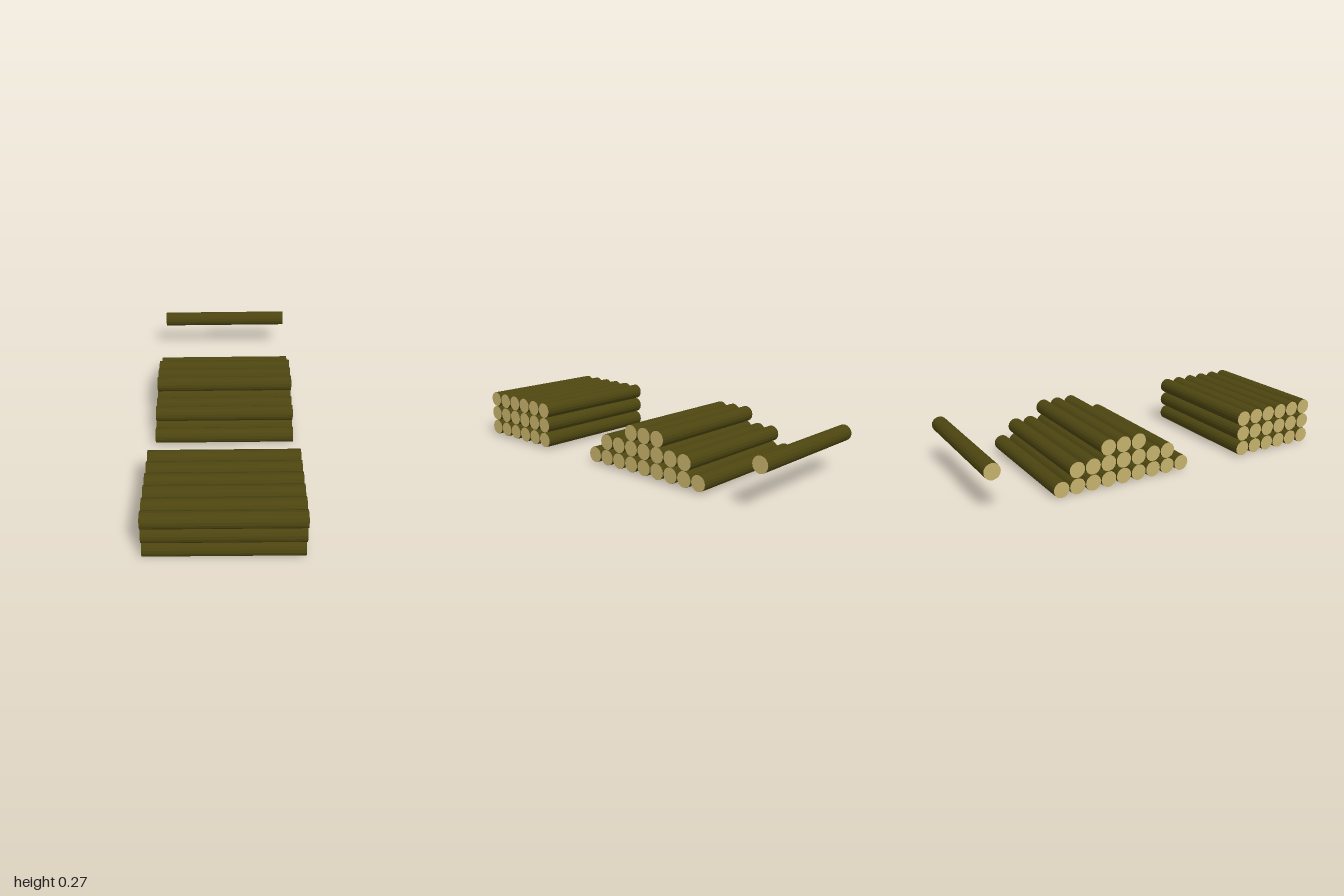
import * as THREE from 'three';

const RADIUS = 0.0425;
const LENGTH = 0.765;
const PITCH = 0.0882; // distance between neighbouring logs
const TILT = 0.0131; // every log rises slightly towards +x

export function createModel() {
  const bark = new THREE.MeshStandardMaterial({ color: 0x4c4510, flatShading: true });
  bark.name = 'bark';
  const cutWood = new THREE.MeshStandardMaterial({ color: 0xc6b26c });
  cutWood.name = 'cutWood';

  // One log lying along x: bark side, cut wood on both ends
  const logGeometry = new THREE.CylinderGeometry(RADIUS, RADIUS, LENGTH, 16);
  logGeometry.rotateZ(-Math.PI / 2 + TILT);

  // A row of logs running from zFront towards the back
  function addRow(pile, count, zFront, y) {
    for (let i = 0; i < count; i++) {
      const log = new THREE.Mesh(logGeometry, [bark, cutWood, cutWood]);
      log.name = 'log';
      log.position.set(0, y, zFront - i * PITCH);
      pile.add(log);
    }
  }

  const model = new THREE.Group();
  model.name = 'logPiles';

  // Square stack at the front: three rows of six
  const squareStack = new THREE.Group();
  squareStack.name = 'squareStack';
  for (const y of [0.0475, 0.135, 0.2215]) addRow(squareStack, 6, 0.9575, y);

  // Stepped stack in the middle: rows of nine, seven and three
  const steppedStack = new THREE.Group();
  steppedStack.name = 'steppedStack';
  addRow(steppedStack, 9, 0.095, 0.0475);
  addRow(steppedStack, 7, 0.095 - PITCH, 0.1335);
  addRow(steppedStack, 3, 0.095 - 3 * PITCH, 0.217);

  // Lone raised log at the back
  const singleLog = new THREE.Group();
  singleLog.name = 'singleLog';
  addRow(singleLog, 1, -0.9575, 0.217);

  model.add(squareStack, steppedStack, singleLog);
  return model;
}
